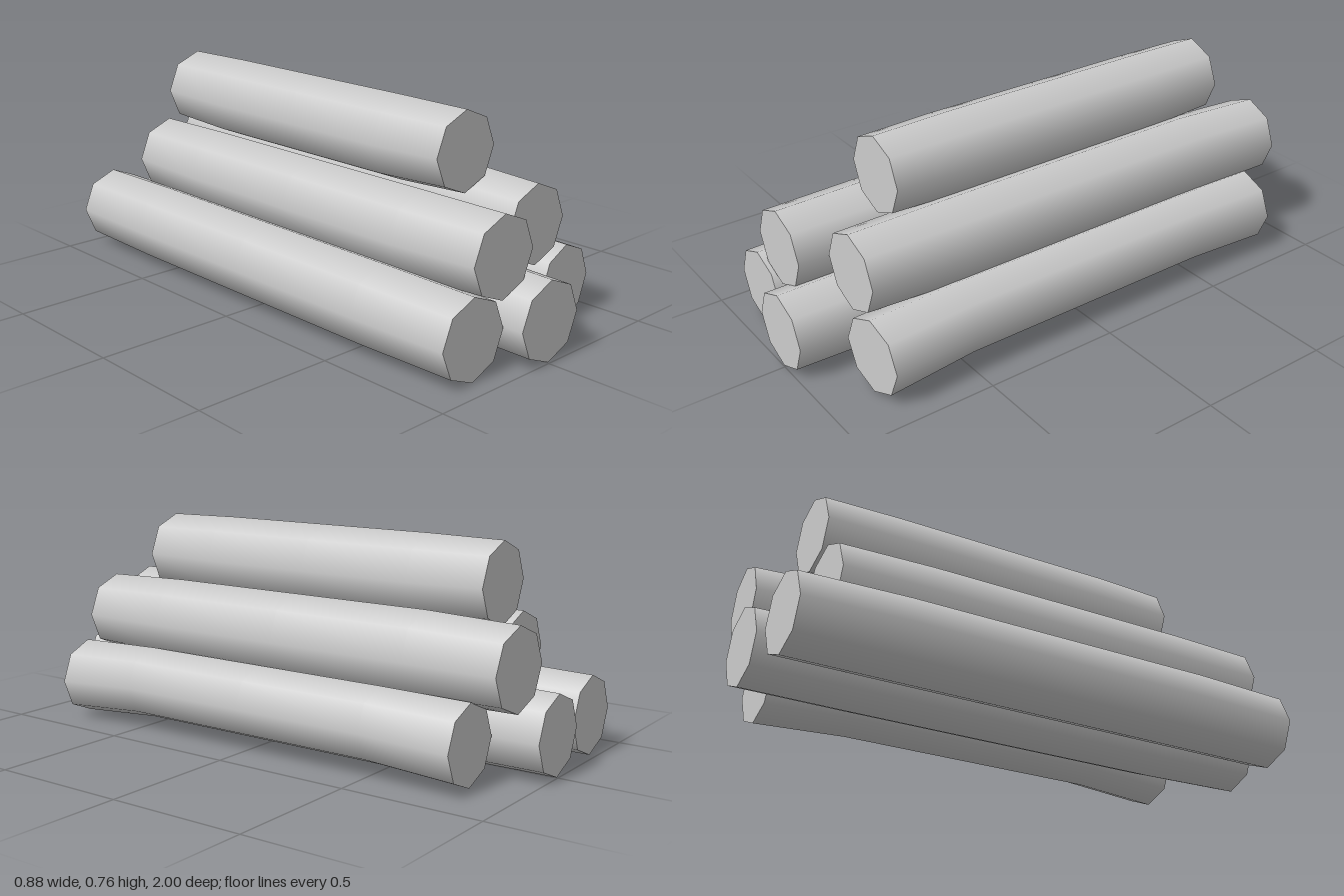
import * as THREE from 'three';

// Each log: front, middle and back cross-sections as [x, y, radius],
// end positions along z, and the slant of each cut end.
const LOGS = [
  { name: 'bottomRightLog', front: [-0.288, 0.143, 0.14], mid: [-0.295, 0.145, 0.145], back: [-0.29, 0.143, 0.14], z: [0.93, -0.98] },
  { name: 'bottomMiddleLog', front: [-0.003, 0.144, 0.139], mid: [0.004, 0.144, 0.144], back: [0.008, 0.143, 0.139], z: [1, -1] },
  { name: 'bottomLeftLog', front: [0.3, 0.144, 0.138], mid: [0.293, 0.16, 0.131], back: [0.295, 0.15, 0.138], z: [0.83, -0.84], slant: [-0.07, 0] },
  { name: 'middleRightLog', front: [-0.138, 0.367, 0.141], mid: [-0.143, 0.361, 0.15], back: [-0.14, 0.364, 0.141], z: [0.915, -0.79] },
  { name: 'middleLeftLog', front: [0.156, 0.38, 0.141], mid: [0.167, 0.382, 0.15], back: [0.191, 0.384, 0.141], z: [0.81, -0.947], slant: [0, 0.05] },
  { name: 'topLog', front: [0.015, 0.615, 0.141], mid: [0.01, 0.611, 0.149], back: [0.01, 0.615, 0.141], z: [0.62, -0.79] },
];

// Eight-sided log that bends and swells gently between its ends
function makeLog({ name, front, mid, back, z, slant = [0, 0] }, material) {
  const rings = [
    { at: 0, section: front },
    { at: 0.2, section: mid },
    { at: 0.5, section: mid },
    { at: 0.8, section: mid },
    { at: 1, section: back },
  ];
  const geometry = new THREE.CylinderGeometry(1, 1, 1, 8, rings.length - 1);
  geometry.rotateX(Math.PI / 2);
  const pos = geometry.attributes.position;
  for (let i = 0; i < pos.count; i++) {
    const index = Math.round((0.5 - pos.getZ(i)) * (rings.length - 1));
    const { at, section: [cx, cy, r] } = rings[index];
    const dx = pos.getX(i) * r;
    const tilt = index === 0 ? slant[0] : index === rings.length - 1 ? slant[1] : 0;
    pos.setXYZ(i, cx + dx, cy + pos.getY(i) * r, THREE.MathUtils.lerp(z[0], z[1], at) + dx * tilt);
  }
  const mesh = new THREE.Mesh(geometry, material);
  mesh.name = name;
  return mesh;
}

export function createModel() {
  const group = new THREE.Group();
  group.name = 'logPile';
  const wood = new THREE.MeshStandardMaterial({ color: 0xcccccc });
  wood.name = 'paleGrey';
  // Pyramid of six logs: three below, two between, one on top
  for (const log of LOGS) group.add(makeLog(log, wood));
  return group;
}
